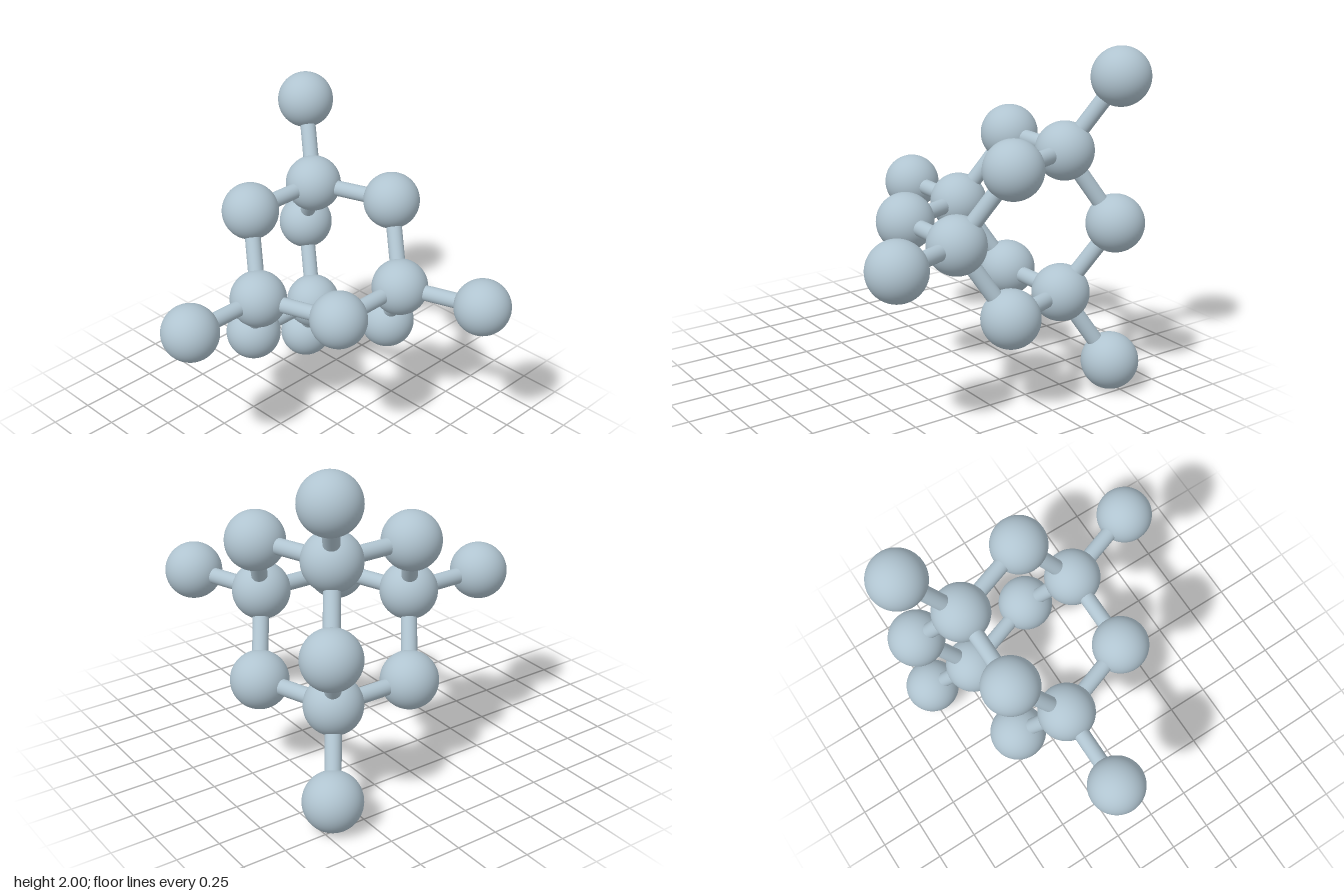
import * as THREE from 'three';

// Cage of joined balls on a tetrahedral lattice
export function createModel() {
  const model = new THREE.Group();
  model.name = 'ballAndStickCage';
  const steel = new THREE.MeshStandardMaterial({ color: 0xb0c4d0 });
  steel.name = 'pale blue grey';

  const ballRadius = 0.166, rodRadius = 0.046;
  const ballGeometry = new THREE.SphereGeometry(ballRadius, 48, 32);
  const up = new THREE.Vector3(0, 1, 0);

  function addBall(name, position) {
    const ball = new THREE.Mesh(ballGeometry, steel);
    ball.name = name;
    ball.position.copy(position);
    model.add(ball);
  }

  function addRod(name, from, to) {
    const direction = to.clone().sub(from);
    const rod = new THREE.Mesh(
      new THREE.CylinderGeometry(rodRadius, rodRadius, direction.length(), 32), steel);
    rod.name = name;
    rod.position.copy(from).lerp(to, 0.5);
    rod.quaternion.setFromUnitVectors(up, direction.normalize());
    model.add(rod);
  }

  // Four hubs at the corners of a regular tetrahedron
  const hubs = [
    [-0.241, 1, 0.17], [0.241, 1, -0.511], [-0.481, 1.417, -0.511], [-0.481, 0.583, -0.511],
  ].map((p) => new THREE.Vector3(...p));
  const centre = hubs.reduce((sum, h) => sum.add(h), new THREE.Vector3()).divideScalar(4);

  hubs.forEach((hub, i) => {
    addBall('hubBall', hub);

    // Outer ball straight out from the centre
    const outer = hub.clone().sub(centre).multiplyScalar(2).add(centre);
    addBall('outerBall', outer);
    addRod('outerRod', hub, outer);

    // Bridge ball pushed out from the middle of each edge
    for (const other of hubs.slice(i + 1)) {
      const bridge = hub.clone().add(other).sub(centre);
      addBall('bridgeBall', bridge);
      addRod('bridgeRod', hub, bridge);
      addRod('bridgeRod', other, bridge);
    }
  });
  return model;
}
